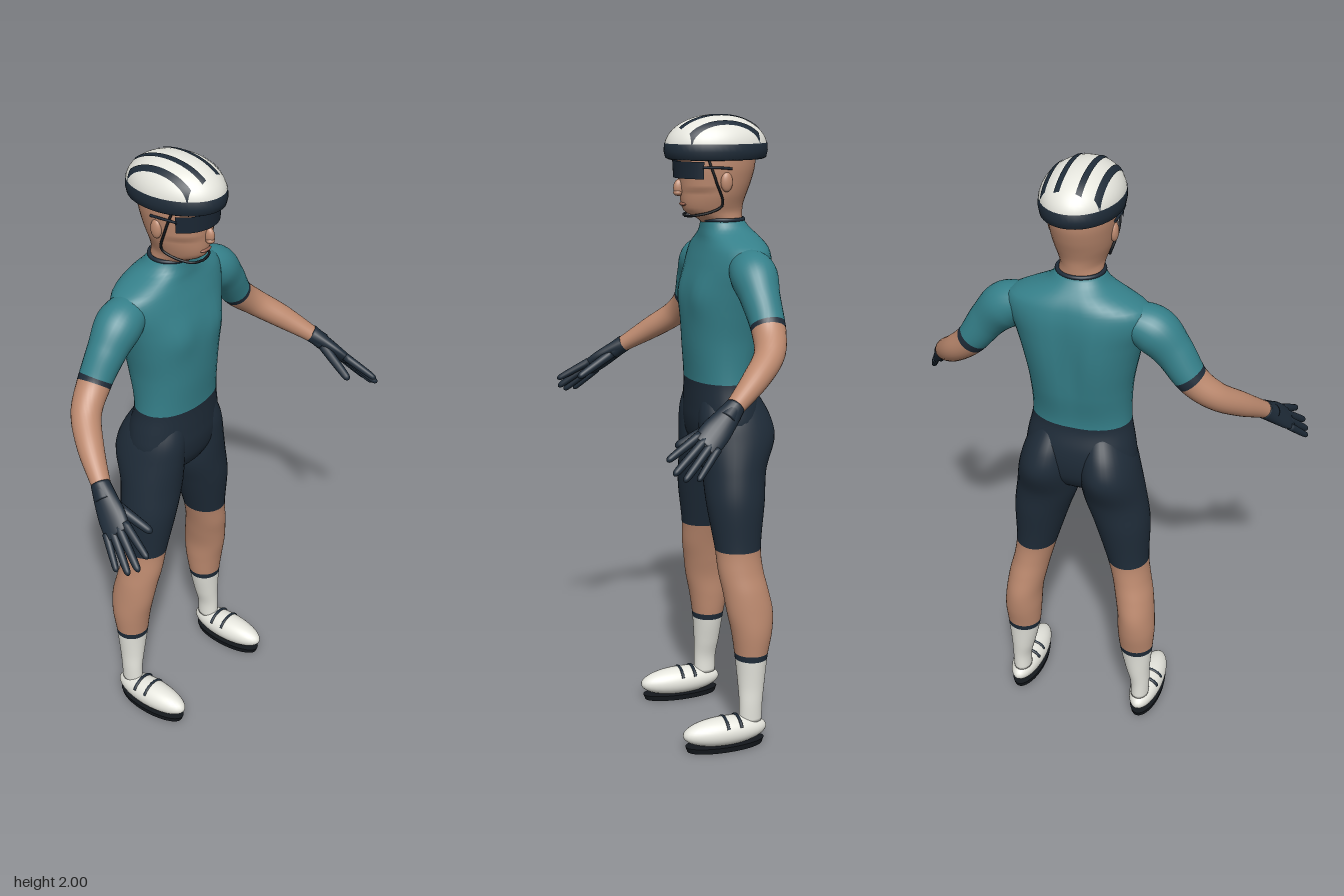
import * as THREE from 'three';

const mat = (name, color, side = THREE.FrontSide) => {
  const m = new THREE.MeshStandardMaterial({ color, side });
  m.name = name;
  return m;
};
const V = (x, y, z) => new THREE.Vector3(x, y, z);

// Smooth interpolation of table rows; column 0 is the parameter
function sample(rows, t) {
  let i = 0;
  while (i < rows.length - 2 && t > rows[i + 1][0]) i++;
  const a = rows[i], b = rows[i + 1], h = b[0] - a[0], k = (t - a[0]) / h;
  const slope = (n, c) => {
    const p = rows[Math.max(n - 1, 0)], q = rows[Math.min(n + 1, rows.length - 1)];
    return (q[c] - p[c]) / (q[0] - p[0]);
  };
  return a.map((_, c) => {
    const k2 = k * k, k3 = k2 * k;
    return (2 * k3 - 3 * k2 + 1) * a[c] + (k3 - 2 * k2 + k) * h * slope(i, c)
      + (3 * k2 - 2 * k3) * b[c] + (k3 - k2) * h * slope(i + 1, c);
  });
}

// Skin rings {c, u, v} into a closed smooth surface; pick(i) gives the material index
function loft(name, rings, mats, pick = () => 0, power = 1, shape = null, N = 36) {
  const pos = [], idx = [], geo = new THREE.BufferGeometry();
  const bend = (s) => Math.sign(s) * Math.abs(s) ** power;
  const last = rings.length - 1;
  for (const { c, u, v } of rings) {
    for (let j = 0; j < N; j++) {
      const a = (j / N) * Math.PI * 2;
      const p = c.clone().addScaledVector(u, bend(Math.cos(a))).addScaledVector(v, bend(Math.sin(a)));
      if (shape) shape(p, c);
      pos.push(p.x, p.y, p.z);
    }
  }
  const lo = (last + 1) * N, hi = lo + 1;
  pos.push(...rings[0].c.toArray(), ...rings[last].c.toArray());
  for (let i = 0; i < last; i++) {
    const start = idx.length;
    for (let j = 0; j < N; j++) {
      const a = i * N + j, b = i * N + ((j + 1) % N), c = a + N, d = b + N;
      idx.push(a, c, b, b, c, d);
      if (i === 0) idx.push(lo, a, b);
      if (i === last - 1) idx.push(hi, d, c);
    }
    geo.addGroup(start, idx.length - start, pick(i));
  }
  geo.setAttribute('position', new THREE.Float32BufferAttribute(pos, 3));
  geo.setIndex(idx);
  geo.computeVertexNormals();
  const mesh = new THREE.Mesh(geo, mats);
  mesh.name = name;
  return mesh;
}

// Upright body part from rows [y, centreX, halfWidth, zFront, zBack]
function body(name, rows, mats, pick, power, shape) {
  const y0 = rows[0][0], n = Math.round((rows[rows.length - 1][0] - y0) / 0.01), rings = [];
  for (let i = 0; i <= n; i++) {
    const [y, x, w, f, b] = sample(rows, y0 + i * 0.01);
    rings.push({ c: V(x, y, (f + b) / 2), u: V(w, 0, 0), v: V(0, 0, (f - b) / 2) });
  }
  return loft(name, rings, mats, (i) => pick(y0 + (i + 0.5) * 0.01), power, shape);
}

// Limb along a path from rows [x, y, z, radiusU, radiusV]; ref orients the U axis
function limb(name, pts, mats, ref = V(0, 1, 0), pick = () => 0, per = 8, N = 20) {
  const rows = pts.map((p, i) => [i, ...p]), n = (pts.length - 1) * per;
  const at = (t) => sample(rows, Math.min(Math.max(t, 0), pts.length - 1));
  const rings = [];
  for (let i = 0; i <= n; i++) {
    const t = i / per, [, x, y, z, ru, rv] = at(t);
    const d = V(...at(t + 0.05).slice(1, 4)).sub(V(...at(t - 0.05).slice(1, 4))).normalize();
    const u = ref.clone().addScaledVector(d, -ref.dot(d)).normalize();
    const v = u.clone().cross(d);
    rings.push({ c: V(x, y, z), u: u.multiplyScalar(ru), v: v.multiplyScalar(rv) });
  }
  return loft(name, rings, mats, (i) => pick((i + 0.5) / per), 1, null, N);
}

export function createModel() {
  const model = new THREE.Group();
  const teal = mat('jersey teal', 0x35808a), navy = mat('navy', 0x1f2c39), skin = mat('skin', 0xbd8a6f);
  const white = mat('white', 0xe6e6de), black = mat('black', 0x14181d), lip = mat('lips', 0x9a6553);
  const lens = mat('dark lens', 0x1b2734, THREE.DoubleSide);

  // Add a mesh with its geometry baked in place
  const put = (name, geo, material, x = 0, y = 0, z = 0) => {
    const mesh = new THREE.Mesh(geo.translate(x, y, z), material);
    mesh.name = name;
    model.add(mesh);
    return mesh;
  };
  // Add a left-side mesh plus its mirrored right-side twin
  const pair = (mesh) => {
    const geo = mesh.geometry.clone().scale(-1, 1, 1), ix = geo.index.array;
    for (let i = 0; i < ix.length; i += 3) [ix[i], ix[i + 1]] = [ix[i + 1], ix[i]];
    const twin = new THREE.Mesh(geo, mesh.material);
    twin.name = mesh.name + 'Right';
    mesh.name += 'Left';
    model.add(mesh, twin);
  };
  const ball = (rx, ry, rz) => new THREE.SphereGeometry(1, 32, 24).scale(rx, ry, rz);
  const cord = (pts, r) => new THREE.TubeGeometry(new THREE.CatmullRomCurve3(pts.map((p) => V(...p))), 32, r, 8);

  // Torso: shorts below the waist, jersey above, with chest and back relief
  const bump = (a, b, w) => Math.exp(-(((a - b) / w) ** 2));
  model.add(body('torso', [
    [0.92, 0, 0.03, -0.09, -0.15], [0.94, 0, 0.1, -0.05, -0.19], [0.97, 0, 0.15, -0.03, -0.215],
    [1.0, 0, 0.17, -0.018, -0.228], [1.05, 0, 0.178, -0.01, -0.235], [1.1, 0, 0.172, -0.01, -0.232],
    [1.18, 0, 0.157, -0.01, -0.215], [1.3, 0, 0.16, -0.001, -0.235], [1.4, 0, 0.178, 0, -0.248],
    [1.48, 0, 0.198, -0.009, -0.254], [1.55, 0, 0.22, -0.028, -0.254], [1.595, 0, 0.212, -0.043, -0.246],
    [1.62, 0, 0.165, -0.05, -0.235], [1.64, 0, 0.115, -0.052, -0.22], [1.655, 0, 0.09, -0.054, -0.205],
    [1.68, 0, 0.071, -0.055, -0.187],
  ], [navy, teal], (y) => (y > 1.18 ? 1 : 0), 0.92, (p, c) => {
    const x = Math.abs(p.x);
    if (p.z > c.z + 0.02) p.z += 0.011 * bump(x, 0.085, 0.05) * bump(p.y, 1.45, 0.06);
    if (p.z < c.z - 0.02) p.z += (0.014 * bump(x, 0, 0.03) - 0.008 * bump(x, 0.085, 0.05)) * bump(p.y, 1.42, 0.15);
  }));
  put('collar', new THREE.TorusGeometry(1, 0.09, 10, 40).rotateX(Math.PI / 2).scale(0.07, 0.07, 0.066), navy, 0, 1.681, -0.121);

  // Legs: sock, cuff, bare leg, shorts
  pair(body('leg', [
    [0.08, 0.215, 0.03, -0.11, -0.185], [0.14, 0.215, 0.032, -0.11, -0.187], [0.2, 0.208, 0.04, -0.108, -0.195],
    [0.3, 0.201, 0.055, -0.1, -0.207], [0.38, 0.2, 0.061, -0.088, -0.222], [0.45, 0.196, 0.06, -0.073, -0.225],
    [0.52, 0.185, 0.062, -0.062, -0.212], [0.58, 0.172, 0.062, -0.052, -0.2], [0.65, 0.158, 0.067, -0.047, -0.196],
    [0.8, 0.135, 0.09, -0.026, -0.215], [0.9, 0.112, 0.1, -0.022, -0.228], [1.0, 0.1, 0.093, -0.016, -0.262],
    [1.07, 0.09, 0.083, -0.015, -0.248], [1.15, 0.075, 0.06, -0.03, -0.205],
  ], [white, navy, skin], (y) => (y < 0.295 ? 0 : y < 0.31 ? 1 : y < 0.65 ? 2 : 1)));

  // Shoes
  const part = (name, geo, material, x, y, z) => {
    const mesh = new THREE.Mesh(geo.translate(x, y, z), material);
    mesh.name = name;
    pair(mesh);
  };
  part('shoe', ball(0.052, 0.047, 0.143), white, 0.218, 0.056, -0.058);
  part('sole', new THREE.CylinderGeometry(1, 0.95, 0.018, 40).scale(0.05, 1, 0.135), black, 0.218, 0.009, -0.058);
  for (const z of [-0.055, -0.1]) {
    part('shoeStrap', new THREE.TorusGeometry(1, 0.09, 8, 20, 2.2).rotateZ(Math.PI / 2 - 1.1)
      .scale(0.051, 0.046, 0.06), navy, 0.218, 0.056, z);
  }

  // Arms: sleeve, cuff, bare forearm, glove cuff
  pair(limb('arm', [
    [0.15, 1.56, -0.145, 0.05, 0.06], [0.228, 1.527, -0.138, 0.071, 0.072], [0.288, 1.467, -0.136, 0.06, 0.06],
    [0.35, 1.382, -0.137, 0.049, 0.052], [0.415, 1.322, -0.112, 0.043, 0.046], [0.475, 1.265, -0.045, 0.038, 0.04],
    [0.53, 1.203, 0.04, 0.027, 0.029], [0.55, 1.175, 0.075, 0.027, 0.03],
  ], [teal, navy, skin], V(0, 1, 0), (t) => (t < 2.8 ? 0 : t < 3 ? 1 : t < 6 ? 2 : 1), 10, 28));

  // Gloved hands: flat palm, four fingers, thumb
  const across = V(0.5, -0.5, -0.7).normalize();
  pair(limb('palm', [
    [0.53, 1.205, 0.038, 0.029, 0.029], [0.55, 1.175, 0.075, 0.037, 0.024],
    [0.57, 1.143, 0.115, 0.044, 0.02], [0.588, 1.115, 0.148, 0.041, 0.015], [0.592, 1.11, 0.156, 0.03, 0.008],
  ], [navy], across));
  const finger = (name, base, tip, r) => {
    const a = V(...base), b = V(...tip), row = (k, s) => [...a.clone().lerp(b, k).toArray(), r * s, r * s];
    pair(limb(name, [row(0, 1.1), row(0.45, 1), row(0.85, 0.85), row(0.96, 0.6), row(1, 0.15)], [navy], across, undefined, 4, 12));
  };
  finger('indexFinger', [0.565, 1.14, 0.158], [0.593, 1.08, 0.265], 0.0125);
  finger('middleFinger', [0.58, 1.128, 0.148], [0.622, 1.046, 0.255], 0.013);
  finger('ringFinger', [0.592, 1.115, 0.135], [0.638, 1.03, 0.23], 0.0125);
  finger('littleFinger', [0.602, 1.104, 0.118], [0.647, 1.03, 0.193], 0.011);
  finger('thumb', [0.54, 1.17, 0.08], [0.51, 1.097, 0.212], 0.0155);

  // Head and neck
  model.add(body('head', [
    [1.6, 0, 0.064, -0.07, -0.178], [1.67, 0, 0.066, -0.057, -0.183], [1.69, 0, 0.066, -0.03, -0.184],
    [1.705, 0, 0.067, 0.0, -0.185], [1.73, 0, 0.076, 0.012, -0.188], [1.76, 0, 0.086, 0.016, -0.198],
    [1.8, 0, 0.093, 0.02, -0.213], [1.85, 0, 0.098, 0.023, -0.225], [1.9, 0, 0.094, 0.015, -0.22], [1.94, 0, 0.07, -0.03, -0.18],
  ], [skin], () => 0, 1, (p, c) => {
    if (p.z > c.z && p.y < 1.78 && p.y > 1.68) p.x *= 1 - 0.15 * (p.z - c.z) / 0.1;
  }));
  put('nose', ball(0.013, 0.026, 0.019), skin, 0, 1.78, 0.02);
  put('noseTip', ball(0.014, 0.01, 0.014), skin, 0, 1.765, 0.025);
  put('mouth', ball(0.024, 0.006, 0.008), lip, 0, 1.73, 0.009);
  part('ear', ball(0.012, 0.03, 0.019), skin, 0.094, 1.8, -0.1);

  // Wraparound glasses
  put('visor', new THREE.CylinderGeometry(1, 0.97, 0.052, 40, 1, true, -1.2, 2.4).scale(0.106, 1, 0.096), lens, 0, 1.836, -0.06);
  part('glassesArm', cord([[0.098, 1.845, -0.02], [0.102, 1.844, -0.07], [0.1, 1.84, -0.115]], 0.004), lens, 0, 0, 0);

  // Helmet: dark rim, white dome, dark vents, chin strap
  const hz = -0.1;
  const rim = [[0, 1.885], [0.78, 1.872], [0.92, 1.865], [0.98, 1.87], [1.01, 1.89], [1.0, 1.912], [0.95, 1.92]];
  put('helmetRim', new THREE.LatheGeometry(rim.map((p) => new THREE.Vector2(...p)), 48).scale(0.12, 1, 0.164), black.clone() && navy, 0, 0, hz);
  put('helmetDome', new THREE.SphereGeometry(1, 48, 24, 0, Math.PI * 2, 0, 1.45).scale(0.12, 0.1, 0.164), white, 0, 1.9, hz);
  for (const [x, half] of [[0.032, 0.128], [0.08, 0.112]]) {
    const vent = new THREE.PlaneGeometry(0.017, half * 2, 4, 32).rotateX(-Math.PI / 2).translate(x, 0, 0);
    const p = vent.attributes.position;
    for (let i = 0; i < p.count; i++) {
      const q = 1 - (p.getX(i) / 0.12) ** 2 - (p.getZ(i) / 0.164) ** 2;
      p.setY(i, 0.1 * Math.sqrt(Math.max(q, 0)) + 0.003);
    }
    vent.computeVertexNormals();
    part('helmetVent', vent, navy, 0, 1.9, hz);
  }
  part('chinStrap', cord([[0.09, 1.875, -0.04], [0.097, 1.8, -0.066], [0.08, 1.73, -0.092],
    [0.066, 1.708, -0.06], [0.04, 1.696, -0.01], [0, 1.693, 0.002]], 0.004), black, 0, 0, 0);

  return model;
}
